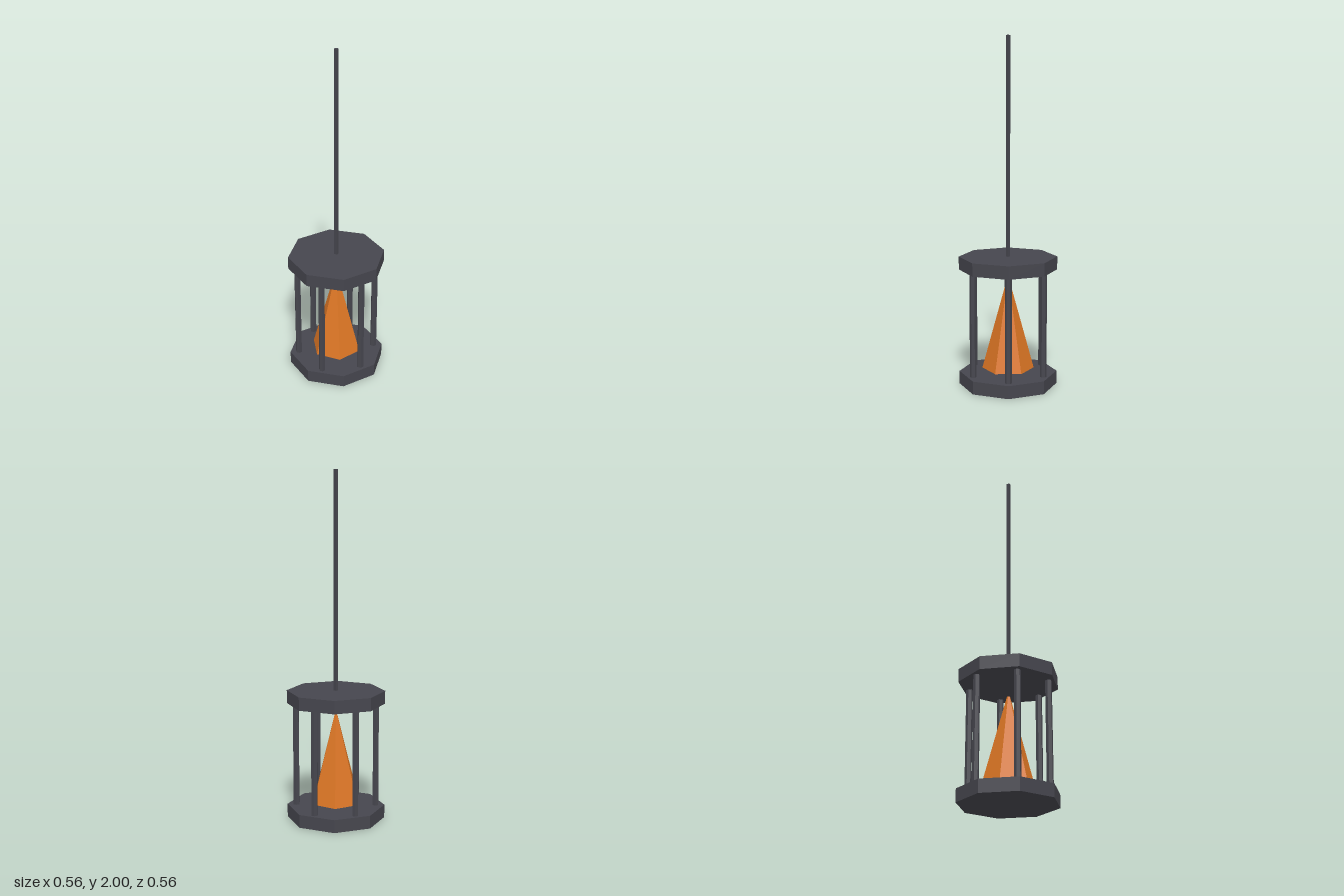
import * as THREE from 'three';

export function createModel() {
  const iron = new THREE.MeshStandardMaterial({ color: 0x46464e, flatShading: true });
  iron.name = 'dark iron';
  const flame = new THREE.MeshStandardMaterial({ color: 0xdb7524, flatShading: true });
  flame.name = 'orange flame';

  const model = new THREE.Group();
  model.name = 'hangingLantern';

  // Upright faceted prism between two heights
  function prism(name, material, sides, bottomRadius, topRadius, y0, y1, x = 0, z = 0) {
    const geometry = new THREE.CylinderGeometry(topRadius, bottomRadius, y1 - y0, sides);
    const mesh = new THREE.Mesh(geometry, material);
    mesh.name = name;
    mesh.position.set(x, (y0 + y1) / 2, z);
    model.add(mesh);
  }

  // Octagonal plates and the square hanging rod
  prism('basePlate', iron, 8, 0.282, 0.282, 0, 0.075);
  prism('topPlate', iron, 8, 0.282, 0.282, 0.677, 0.752);
  prism('hangingRod', iron, 4, 0.0125, 0.0125, 0.752, 2);

  // Ring of six posts
  for (let i = 0; i < 6; i++) {
    const a = (i * Math.PI) / 3;
    prism('post' + (i + 1), iron, 6, 0.019, 0.019, 0.07, 0.68, 0.23 * Math.cos(a), 0.23 * Math.sin(a));
  }

  // Six-sided flame with a tiny blunt tip
  prism('flame', flame, 6, 0.149, 0.009, 0.095, 0.61);

  return model;
}
